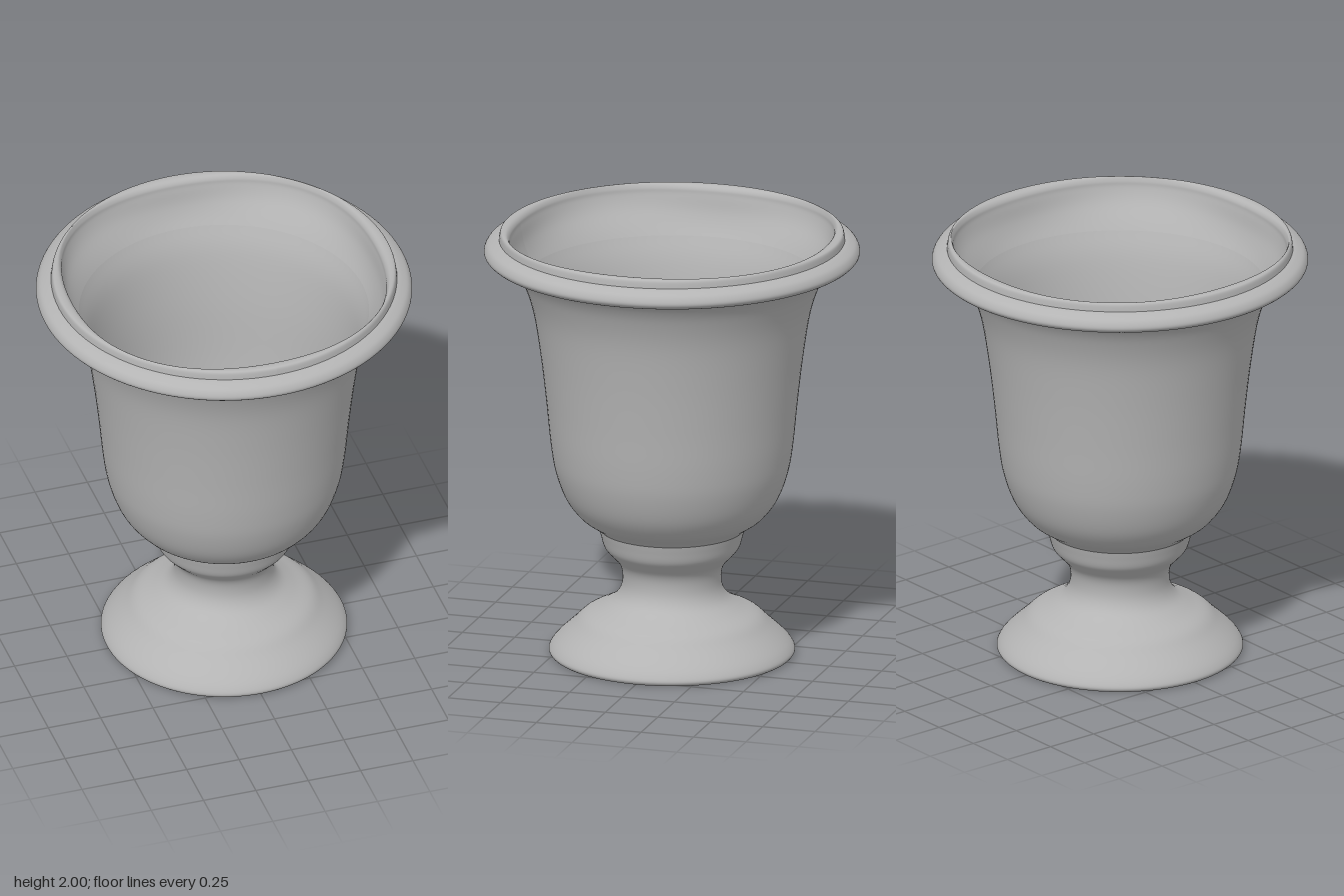
import * as THREE from 'three';

const stone = new THREE.MeshStandardMaterial({ color: 0xb4b4b4 });
stone.name = 'grey stone';

// Turned surface through [radius, height] points: outside runs up, inside runs down
function turned(name, points, samples) {
  const curve = new THREE.SplineCurve(points.map(([r, y]) => new THREE.Vector2(r, y)));
  const mesh = new THREE.Mesh(new THREE.LatheGeometry(curve.getPoints(samples), 96), stone);
  mesh.name = name;
  return mesh;
}

// Hand-worked inner edge: the mouth is slightly squared instead of perfectly round
function squareMouth(mesh) {
  const pos = mesh.geometry.attributes.position;
  for (let i = 0; i < pos.count; i++) {
    const x = pos.getX(i), y = pos.getY(i), z = pos.getZ(i);
    const r = Math.hypot(x, z);
    const inside = THREE.MathUtils.smoothstep(0.78 - r, 0, 0.04);
    const high = THREE.MathUtils.smoothstep(y, 1.8, 1.96);
    const k = 1 - 0.025 * inside * high * Math.cos(4 * Math.atan2(z, x));
    pos.setXYZ(i, x * k, y, z * k);
  }
  mesh.geometry.computeVertexNormals();
  return mesh;
}

export function createModel() {
  const urn = new THREE.Group();
  urn.name = 'urn';

  // Flared foot, narrow stem and collar
  const pedestal = turned('pedestal', [
    [0.52, 0.005], [0.545, 0.003], [0.56, 0.02], [0.55, 0.045], [0.52, 0.08], [0.455, 0.14],
    [0.4, 0.19], [0.32, 0.23], [0.26, 0.27], [0.23, 0.32], [0.225, 0.38], [0.24, 0.43],
    [0.28, 0.475], [0.308, 0.51], [0.323, 0.56], [0.332, 0.595],
  ], 70);

  // Deep cup that flares under the rim
  const bowl = turned('bowl', [
    [0.332, 0.595], [0.36, 0.617], [0.425, 0.665], [0.487, 0.75], [0.53, 0.87], [0.552, 1.0],
    [0.572, 1.2], [0.598, 1.42], [0.63, 1.62], [0.67, 1.75], [0.71, 1.825], [0.755, 1.873],
  ], 60);

  // Rolled rim
  const rim = turned('rim', [
    [0.755, 1.873], [0.82, 1.875], [0.848, 1.89], [0.855, 1.91], [0.84, 1.938],
    [0.81, 1.955], [0.787, 1.962],
  ], 30);

  // Raised lip, continuing into the mouth
  const lip = squareMouth(turned('lip', [
    [0.787, 1.962], [0.782, 1.99], [0.772, 2], [0.755, 1.998], [0.743, 1.98], [0.738, 1.95],
    [0.715, 1.88], [0.66, 1.78],
  ], 40));

  // Hollow of the cup, down to the drain
  const bowlInside = turned('bowlInside', [
    [0.66, 1.78], [0.61, 1.65], [0.565, 1.4], [0.535, 1.1], [0.505, 0.9], [0.46, 0.775],
    [0.4, 0.7], [0.33, 0.645], [0.29, 0.615], [0.275, 0.575], [0.25, 0.52], [0.2, 0.455],
    [0.182, 0.4],
  ], 60);

  // Drain hole opening into the hollow foot
  const pedestalInside = turned('pedestalInside', [
    [0.182, 0.4], [0.182, 0.33], [0.21, 0.28], [0.28, 0.215], [0.36, 0.16], [0.43, 0.1],
    [0.49, 0.04], [0.52, 0.005],
  ], 40);

  urn.add(pedestal, bowl, rim, lip, bowlInside, pedestalInside);
  return urn;
}
